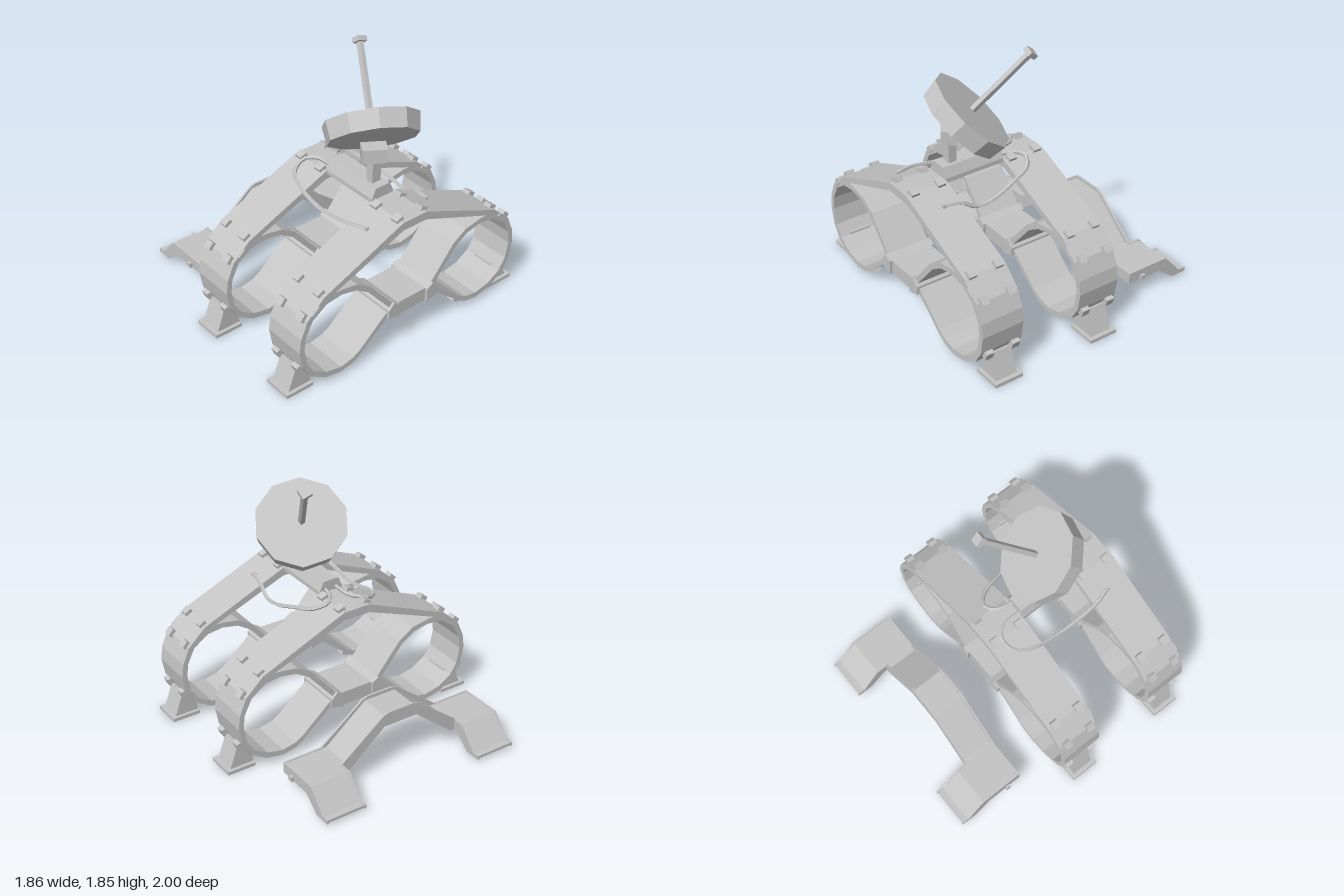
import * as THREE from 'three';

const grey = new THREE.MeshStandardMaterial({ color: 0xc4c4c4 });
grey.name = 'plain grey';

const add = (parent, name, geometry) => {
  const mesh = new THREE.Mesh(geometry, grey);
  mesh.name = name;
  parent.add(mesh);
  return mesh;
};
const box = (parent, name, w, h, d, x, y, z) => {
  const m = add(parent, name, new THREE.BoxGeometry(w, h, d));
  m.position.set(x, y, z);
  return m;
};
const vectors = (pts) => pts.map(([a, b]) => new THREE.Vector2(a, b));
// Half outline -> full outline mirrored in z
const mirrored = (half) => [...half, ...half.map(([z, y]) => [-z, y]).reverse()];
const flip = (pts) => pts.map(([z, y]) => [-z, y]).reverse();
const flat = (g) => {
  const n = g.toNonIndexed();
  n.computeVertexNormals();
  return n;
};

// Extrude a (z, y) outline along x
function alongX(pts, x0, x1, holes = []) {
  const shape = new THREE.Shape(vectors(pts));
  holes.forEach((h) => shape.holes.push(new THREE.Path(vectors(h))));
  return new THREE.ExtrudeGeometry(shape, { depth: x1 - x0, bevelEnabled: false })
    .rotateY(-Math.PI / 2).translate(x1, 0, 0);
}
// Extrude an (x, y) outline along z
function alongZ(pts, z0, z1) {
  return new THREE.ExtrudeGeometry(new THREE.Shape(vectors(pts)), { depth: z1 - z0, bevelEnabled: false })
    .translate(0, 0, z0);
}

function makeFrame(x) {
  const g = new THREE.Group();
  g.name = 'loopFrame';
  g.position.x = x;
  const w = 0.155;

  // Arched band with two teardrop loops and a central opening (outline anticlockwise)
  const outer = mirrored([
    [0.1, 0.98], [0.74, 0.71], [0.87, 0.59], [0.922, 0.47], [0.935, 0.37], [0.912, 0.24], [0.85, 0.14],
    [0.73, 0.065], [0.6, 0.04], [0.5, 0.06], [0.44, 0.095], [0.21, 0.285], [0.14, 0.26],
  ]).reverse();
  const loop = [
    [0.19, 0.35], [0.38, 0.575], [0.48, 0.64], [0.6, 0.665], [0.72, 0.65], [0.83, 0.575], [0.885, 0.465],
    [0.897, 0.37], [0.875, 0.25], [0.82, 0.165], [0.72, 0.105], [0.6, 0.08], [0.5, 0.1], [0.44, 0.135],
  ];
  const centre = mirrored([
    [0.1, 0.92], [0.65, 0.705], [0.6, 0.703], [0.47, 0.68], [0.36, 0.61], [0.17, 0.385], [0.14, 0.36],
  ]);
  add(g, 'archBand', alongX(outer, -w, w, [loop, flip(loop), centre]));

  // Clips: z, y and outward direction
  const clips = [
    [0.1, 0.98, 0.4, 0.92], [0.735, 0.715, 0.5, 0.85], [0.87, 0.595, 0.75, 0.66],
    [0.91, 0.215, 0.93, -0.35], [0.45, 0.09, -0.5, -0.85],
  ];
  const clamp = [[0.12, 0.26], [0.215, 0.285], [0.215, 0.345], [0.17, 0.39], [0.12, 0.36]];
  const leg = [[0.79, 0.02], [0.97, 0.02], [0.905, 0.2], [0.82, 0.18]];
  for (const s of [1, -1]) {
    for (const [z, y, nz, ny] of clips) {
      for (const cx of [-0.1, 0.1]) {
        // kept short enough not to break through the band
        box(g, 'clip', 0.058, 0.045, 0.055, cx, y, s * z).rotation.x = Math.atan2(s * nz, ny);
      }
    }
    box(g, 'edgeTab', 0.012, 0.025, 0.07, w + 0.003, 0.635, s * 0.8).rotation.x = s * 0.75;
    add(g, 'hubClamp', alongX(s > 0 ? clamp : flip(clamp), -0.175, 0.175));
    // Splayed foot on a ground plate
    add(g, 'footPost', alongX(s > 0 ? leg : flip(leg), -0.08, 0.08));
    box(g, 'footPlate', 0.21, 0.025, 0.21, 0, 0.0125, s * 0.895);
  }
  return g;
}

function makeRamp() {
  const g = new THREE.Group();
  g.name = 'sideRamp';

  // Raised bridge: deck between two rails
  const deck = mirrored([[0.12, 0.445], [0.43, 0.195], [0.48, 0.195], [0.48, 0.155], [0.43, 0.155], [0.11, 0.41]]);
  const rail = mirrored([[0.1, 0.468], [0.14, 0.455], [0.47, 0.2], [0.47, 0.12], [0.43, 0.12], [0.13, 0.37]]);
  add(g, 'bridgeDeck', alongX(deck, -0.655, -0.425));
  for (const x of [-0.665, -0.43]) add(g, 'bridgeRail', alongX(rail, x, x + 0.015));
  const rib = mirrored([[0.115, 0.42], [0.44, 0.16], [0.44, 0.125], [0.11, 0.385]]);
  for (const x of [-0.6, -0.51]) add(g, 'bridgeRib', alongX(rib, x, x + 0.03));

  // Landings that step down to the ground; the inner rail stops at the bridge
  const landing = [[-0.425, 0.155], [-0.425, 0.195], [-0.74, 0.195], [-0.88, 0.045], [-0.925, 0.045],
    [-0.925, 0.025], [-0.865, 0.025], [-0.725, 0.155]];
  const railOutline = (end) => [[end, 0.12], [end, 0.2], [-0.745, 0.2], [-0.875, 0.05], [-0.93, 0.05],
    [-0.93, 0.02], [-0.81, 0.02], [-0.69, 0.12]];
  for (const s of [1, -1]) {
    const mid = s * 0.61;
    add(g, 'landingDeck', alongZ(landing, mid - 0.143, mid + 0.143));
    for (const [offset, end] of [[0.143, -0.418], [-0.143, -0.65]]) {
      const z = mid + s * offset;
      add(g, 'landingRail', alongZ(railOutline(end), z - 0.007, z + 0.007));
    }
    box(g, 'landingEnd', 0.015, 0.08, 0.29, -0.426, 0.16, mid);
    for (const e of [-0.06, 0.06]) {
      box(g, 'landingRib', 0.27, 0.035, 0.03, -0.56, 0.14, mid + e);
      box(g, 'landingTab', 0.025, 0.02, 0.03, -0.53 + e, 0.115, s * 0.735);
    }
    box(g, 'landingBolt', 0.035, 0.035, 0.04, -0.53, 0.14, s * 0.76);
  }
  return g;
}

function makeDish() {
  const g = new THREE.Group();
  g.name = 'dishAssembly';

  // Saddle joining both frames, mast and swivel head
  add(g, 'saddle', alongX([[-0.09, 0.96], [0.09, 0.96], [0.09, 0.99], [0.06, 1.06], [-0.06, 1.06], [-0.09, 0.99]], 0.148, 0.602));
  box(g, 'mast', 0.06, 0.18, 0.07, 0.51, 1.14, 0);
  box(g, 'swivelHead', 0.166, 0.1, 0.108, 0.51, 1.265, 0).rotation.y = 1.0;

  // Ten-sided dish tilted on its axis, with a boom and a square feed
  const tilt = new THREE.Group();
  tilt.name = 'tiltedDish';
  const axis = new THREE.Vector3(-0.61, 0.72, -0.335).normalize();
  tilt.quaternion.setFromUnitVectors(new THREE.Vector3(0, 1, 0), axis);
  tilt.position.set(0.418, 1.376, -0.06);
  add(tilt, 'dish', flat(new THREE.CylinderGeometry(0.322, 0.305, 0.13, 10))).rotation.y = -0.21;
  box(tilt, 'boom', 0.034, 0.54, 0.034, 0, 0.33, 0);
  box(tilt, 'feed', 0.07, 0.035, 0.07, 0, 0.595, 0);
  g.add(tilt);
  return g;
}

function makeCables(parent) {
  // Loose cables resting on the bands and sagging between them
  const paths = [
    [[0.17, 1.0, 0.04], [0.0, 0.995, 0.05], [-0.06, 0.985, 0.12], [-0.03, 0.948, 0.22], [0.09, 0.922, 0.28],
      [0.31, 0.868, 0.295], [0.56, 0.895, 0.3], [0.65, 0.912, 0.29], [0.745, 0.92, 0.26]],
    [[0.17, 1.0, -0.04], [0.05, 0.995, -0.07], [0.0, 0.985, -0.13], [0.05, 0.948, -0.22], [0.17, 0.92, -0.265],
      [0.375, 0.86, -0.3], [0.5, 0.85, -0.295], [0.61, 0.91, -0.28], [0.73, 0.92, -0.26]],
  ];
  for (const p of paths) {
    const curve = new THREE.CatmullRomCurve3(p.map((v) => new THREE.Vector3(...v)));
    add(parent, 'cable', flat(new THREE.TubeGeometry(curve, 24, 0.014, 5)));
    for (const t of [0, 1]) curve.getPoint(t, add(parent, 'cablePlug', new THREE.BoxGeometry(0.024, 0.024, 0.024)).position);
  }
}

export function createModel() {
  const model = new THREE.Group();
  model.name = 'loopFrameStation';
  for (const x of [-0.005, 0.755]) model.add(makeFrame(x));
  model.add(makeRamp(), makeDish());
  makeCables(model);
  return model;
}
